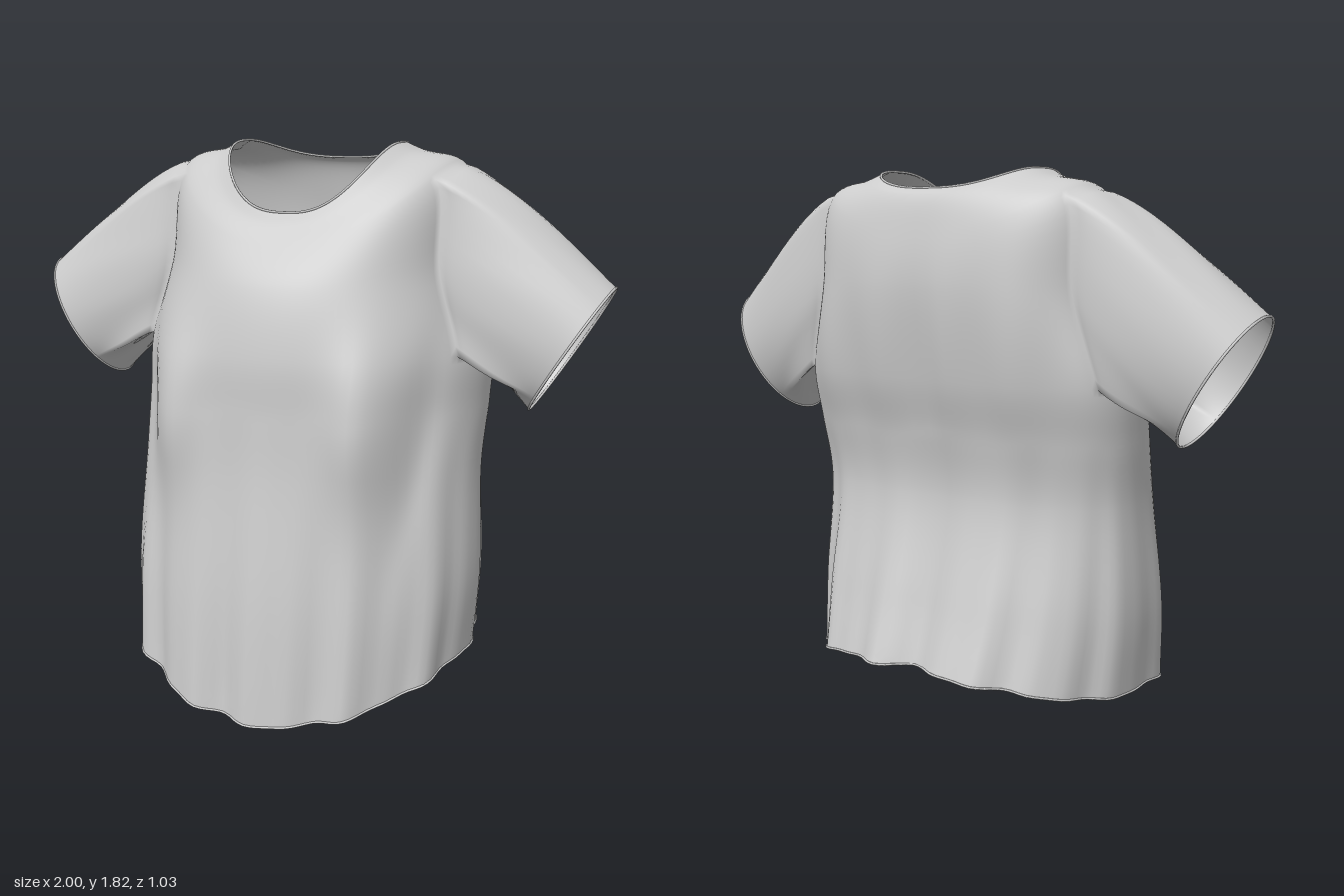
import * as THREE from 'three';

const COLS = 120, STEP = 8;               // columns round the body, rows between key rings
const ARM_LOW = 4 * STEP, ARM_TOP = 6 * STEP, NECK = 7 * STEP, ROWS = 8 * STEP;
const ARMHOLES = { left: [22, 38], right: [82, 98] };

// Key rings from hem to neckline: roundness (front, back), half width,
// y (front, side, back), z (front, side, back)
const RINGS = [
  [0.97, 0.88, 0.595, 0.01, 0.19, 0.27, 0.495, 0.01, -0.495],
  [0.97, 0.85, 0.61, 0.39, 0.45, 0.48, 0.455, -0.01, -0.42],
  [0.98, 0.8, 0.595, 0.8, 0.8, 0.8, 0.395, -0.05, -0.335],
  [1.02, 0.77, 0.6, 1.0, 1.0, 1.0, 0.38, -0.1, -0.355],
  [1.0, 0.75, 0.595, 1.18, 1.18, 1.18, 0.37, -0.13, -0.4],
  [0.95, 0.76, 0.515, 1.39, 1.44, 1.46, 0.315, -0.155, -0.43],
  [0.95, 0.82, 0.48, 1.51, 1.758, 1.63, 0.24, -0.16, -0.41],
  [0.82, 0.8, 0.335, 1.575, 1.802, 1.745, 0.195, -0.15, -0.375],
  [0.75, 0.75, 0.28, 1.615, 1.825, 1.765, 0.175, -0.14, -0.345],
];

const bell = (d, width) => Math.exp(-((d / width) ** 2));
const soften = (v, power) => Math.sign(v) * Math.abs(v) ** power;

// Squarish oval point at angle a (0 = front, quarter turn = left side)
function ringPoint([ef, eb, w, yf, ys, yb, zf, zs, zb], a) {
  const c = Math.cos(a), s = Math.sin(a);
  const [e, y, z] = c > 0 ? [ef, yf, zf] : [eb, yb, zb];
  return new THREE.Vector3(
    w * soften(s, e),
    ys + (y - ys) * c * c,
    zs + Math.abs(c) ** e * (z - zs));
}

// Drape: bust, creases beside it, hanging folds and back pleats
function drape(p, a) {
  const { x, y } = p, c = Math.cos(a), s = Math.sin(a);
  const hang = THREE.MathUtils.clamp((1 - y) / 0.9, 0, 1);
  const fold = hang * (0.016 * Math.sin(13 * a + 0.4 + 0.4 * y) + 0.008 * Math.sin(23 * a + 2));
  p.x += s * fold * 0.5;
  p.z += c * fold * 1.1;
  if (c > 0) {
    for (const side of [-1, 1]) {
      p.z += 0.075 * bell(x - side * 0.33, 0.11) * bell(y - 0.98, 0.24);
      const line = side * (0.46 + 0.1 * (y - 0.85));
      p.z -= 0.025 * bell(x - line, 0.045) * bell(y - 0.9, 0.35);
    }
  } else {
    const upper = bell(y - 1.2, 0.3);
    p.z += upper * (0.007 * Math.sin(26 * x + 0.5) + 0.015 * bell(x, 0.06));
    p.z += hang * 0.05 * bell(x, 0.07);
  }
  return p;
}

export function createModel() {
  const shirt = new THREE.Group();
  shirt.name = 'shirt';
  const material = new THREE.MeshStandardMaterial({ color: 0xcccccc, side: THREE.DoubleSide });
  const points = [];
  const parts = { torso: [], neckBand: [], leftSleeve: [], rightSleeve: [] };
  const quad = (list, a, b, c, d) => list.push(a, b, c, a, c, d);
  const at = (i, j) => j * COLS + (i + COLS) % COLS;

  // Body grid: one smooth curve per column through the key rings
  for (let i = 0; i < COLS; i++) {
    const a = i / COLS * Math.PI * 2;
    const column = new THREE.CatmullRomCurve3(RINGS.map(r => ringPoint(r, a)), false, 'centripetal');
    for (let j = 0; j <= ROWS; j++) points[at(i, j)] = drape(column.getPoint(j / ROWS), a);
  }

  // Body faces, leaving the armholes open
  const inArmhole = (i, j) => j >= ARM_LOW && j < ARM_TOP &&
    Object.values(ARMHOLES).some(([from, to]) => i >= from && i < to);
  for (let j = 0; j < ROWS; j++) {
    for (let i = 0; i < COLS; i++) {
      if (inArmhole(i, j)) continue;
      quad(j < NECK ? parts.torso : parts.neckBand,
        at(i, j), at(i + 1, j), at(i + 1, j + 1), at(i, j + 1));
    }
  }

  // Sleeves: from the armhole edge out to a tilted oval cuff
  const rims = { hemEdge: [], neckEdge: [] };
  const SLEEVE_ROWS = 16;
  for (const [side, [from, to]] of Object.entries(ARMHOLES)) {
    const sign = side === 'left' ? 1 : -1;
    let loop = [];
    for (let i = from; i < to; i++) loop.push(at(i, ARM_LOW));
    for (let j = ARM_LOW; j < ARM_TOP; j++) loop.push(at(to, j));
    for (let i = to; i > from; i--) loop.push(at(i, ARM_TOP));
    for (let j = ARM_TOP; j > ARM_LOW; j--) loop.push(at(from, j));
    const start = loop.map(k => points[k]);
    for (let r = 1; r <= SLEEVE_ROWS; r++) {
      const t = r / SLEEVE_ROWS;
      const next = start.map(p => {
        const phi = Math.atan2((p.z + 0.12) / 0.19, (p.y - 1.45) / 0.29);
        const up = Math.cos(phi), out = Math.sin(phi);
        const q = new THREE.Vector3(sign * (0.872 + 0.122 * up), 1.2 + 0.2 * up, -0.078 + 0.178 * out)
          .lerp(p, 1 - t);
        const swell = Math.sin(Math.PI * t ** 0.7);
        q.y += swell * (0.035 * Math.max(up, 0) + 0.004 * Math.sin(9 * phi + 5 * t));
        q.z += swell * 0.022 * out;
        return points.push(q) - 1;
      });
      next.forEach((k, n) => {
        const m = (n + 1) % next.length;
        quad(parts[side + 'Sleeve'], loop[n], loop[m], next[m], k);
      });
      loop = next;
    }
    rims[side + 'CuffEdge'] = loop.map(k => points[k]);
  }

  // Normals are shared across the parts so the cloth stays smooth over the seams
  const cloth = new THREE.BufferGeometry().setFromPoints(points);
  cloth.setIndex(Object.values(parts).flat());
  cloth.computeVertexNormals();
  for (const [name, index] of Object.entries(parts)) {
    const geometry = new THREE.BufferGeometry();
    geometry.setAttribute('position', cloth.getAttribute('position'));
    geometry.setAttribute('normal', cloth.getAttribute('normal'));
    geometry.setIndex(index);
    const mesh = new THREE.Mesh(geometry, material);
    mesh.name = name;
    shirt.add(mesh);
  }

  // Thin rolled edges at hem, neckline and cuffs
  for (let i = 0; i < COLS; i++) {
    rims.hemEdge.push(points[at(i, 0)]);
    rims.neckEdge.push(points[at(i, ROWS)]);
  }
  for (const [name, path] of Object.entries(rims)) {
    const curve = new THREE.CatmullRomCurve3(path, true);
    const mesh = new THREE.Mesh(new THREE.TubeGeometry(curve, 160, 0.004, 6, true), material);
    mesh.name = name;
    shirt.add(mesh);
  }
  // Rest the lowest point of the hem on the ground
  shirt.position.y = -new THREE.Box3().setFromObject(shirt).min.y;
  return shirt;
}
